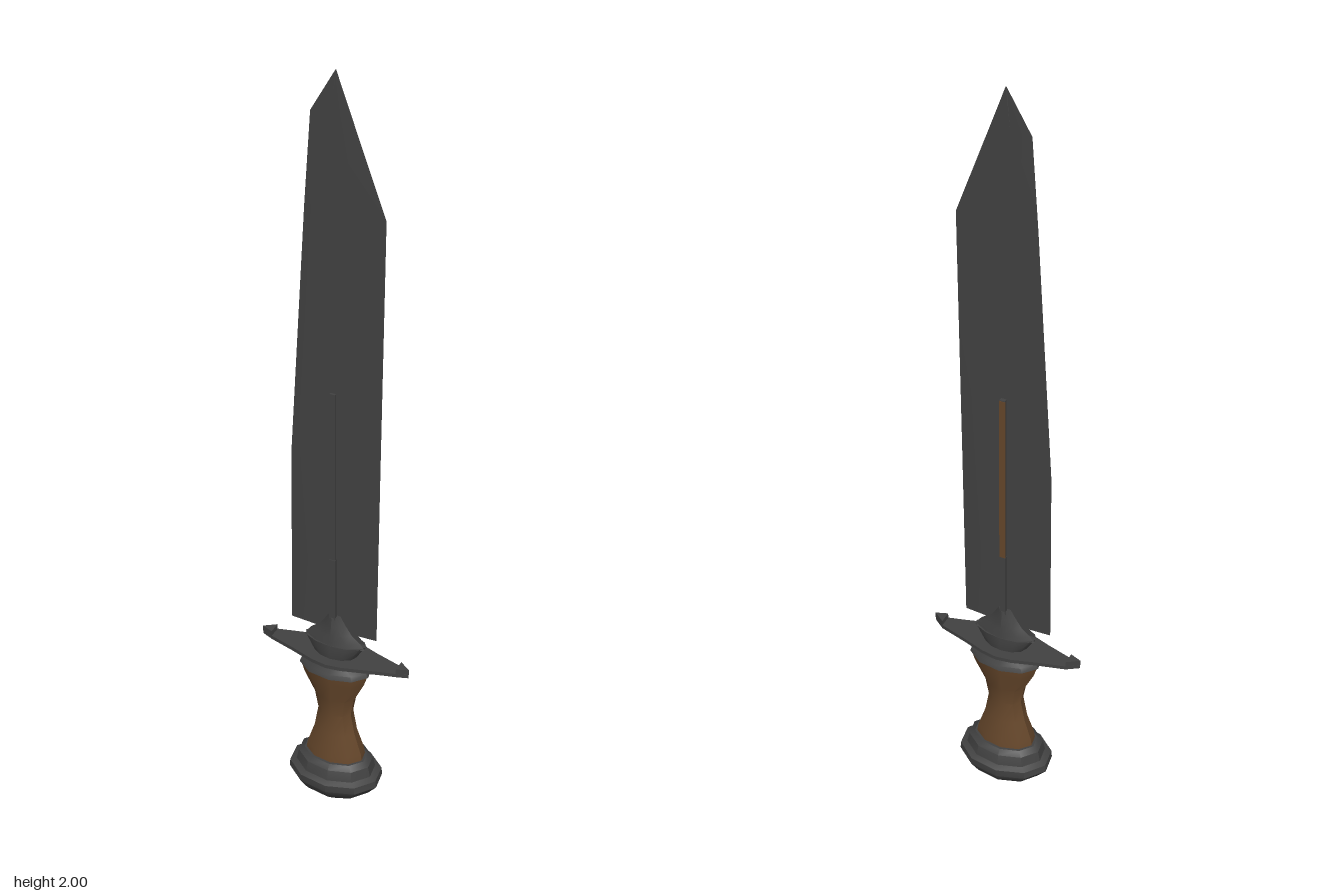
import * as THREE from 'three';
import { toCreasedNormals } from 'three/addons/utils/BufferGeometryUtils.js';

// Closed solid through rings of [x, y, z] points, counter-clockwise seen from below, listed bottom to top
function loft(rings, crease = 0.6) {
  const n = rings[0].length, pos = [], idx = [];
  rings.forEach(r => r.forEach(p => pos.push(...p)));
  for (let k = 0; k < rings.length - 1; k++) {
    for (let i = 0; i < n; i++) {
      const a = k * n + i, b = k * n + (i + 1) % n;
      idx.push(a, a + n, b, b, a + n, b + n);
    }
  }
  const last = (rings.length - 1) * n;
  for (let i = 1; i < n - 1; i++) {
    idx.push(0, i, i + 1);
    idx.push(last, last + i + 1, last + i);
  }
  const g = new THREE.BufferGeometry();
  g.setAttribute('position', new THREE.Float32BufferAttribute(pos, 3));
  g.setIndex(idx);
  return toCreasedNormals(g, crease);
}

// Elliptical ring; x = cos, z = sin
function oval(y, rx, rz, n = 10, turn = 0.2) {
  return Array.from({ length: n }, (_, i) => {
    const a = turn + i / n * Math.PI * 2;
    return [rx * Math.cos(a), y, rz * Math.sin(a)];
  });
}

export function createModel() {
  const steel = new THREE.MeshStandardMaterial({ color: 0x424242 });
  steel.name = 'dark steel';
  const leather = new THREE.MeshStandardMaterial({ color: 0x66472b });
  leather.name = 'brown leather';
  const group = new THREE.Group();
  const add = (name, geometry, material = steel) => {
    const mesh = new THREE.Mesh(geometry, material);
    mesh.name = name;
    group.add(mesh);
    return mesh;
  };
  const ovals = (rows, crease) => loft(rows.map(r => oval(...r)), crease);

  // Pommel with a small knob underneath
  add('pommel', ovals([
    [0.03, 0.03, 0.024], [0.042, 0.065, 0.05], [0.065, 0.1, 0.073], [0.095, 0.125, 0.09],
    [0.115, 0.123, 0.09], [0.122, 0.106, 0.076], [0.15, 0.1, 0.07], [0.162, 0.085, 0.058],
  ]));
  add('pommelKnob', ovals([
    [0, 0.006, 0.005], [0.018, 0.02, 0.016], [0.028, 0.036, 0.028], [0.036, 0.03, 0.024],
  ]));

  // Waisted grip
  add('grip', ovals([
    [0.155, 0.08, 0.052], [0.18, 0.077, 0.05], [0.24, 0.057, 0.037], [0.3, 0.046, 0.034],
    [0.35, 0.055, 0.039], [0.41, 0.084, 0.054], [0.44, 0.093, 0.058],
  ]), leather);
  add('gripCollar', ovals([
    [0.438, 0.096, 0.062], [0.45, 0.09, 0.058], [0.46, 0.075, 0.05], [0.474, 0.07, 0.046],
  ]));

  // Thin pointed crossguard
  const half = [[0.17, 0.016], [0.1, 0.035], [0.04, 0.054], [0, 0.06]];
  const outline = [[0.2, 0.006], ...half, ...half.slice(0, 3).reverse().map(([x, z]) => [-x, z]),
    [-0.2, 0.004], ...half.map(([x, z]) => [-x, -z]),
    ...half.slice(0, 3).reverse().map(([x, z]) => [x, -z])];
  add('crossguard', loft([0.471, 0.481].map(y => outline.map(([x, z]) => [x, y, z]))));

  // Raised crossguard tips
  for (const s of [1, -1]) {
    const ring = y => {
      const p = [[0.2, y, 0.005], [0.17, y, 0.016], [0.17, y, -0.016]];
      return s > 0 ? p : p.map(([x, , z]) => [-x, y, z]).reverse();
    };
    add(s > 0 ? 'leftGuardTip' : 'rightGuardTip', loft([ring(0.48), ring(0.495)]));
  }

  // Blade socket: a solid foot, then two prongs holding the blade
  add('socketFoot', ovals([
    [0.48, 0.056, 0.034, 12, 0], [0.5, 0.068, 0.036, 12, 0], [0.52, 0.082, 0.034, 12, 0],
  ]));
  const prongRows = [[0.515, 0.082, 0.034], [0.53, 0.07, 0.032], [0.55, 0.046, 0.03],
    [0.575, 0.029, 0.027], [0.598, 0.016, 0.024]];
  const prong = loft(prongRows.map(([y, w, d]) =>
    [[w, y, 0.007], [w * 0.55, y, 0.007 + (d - 0.007) * 0.7], [0, y, d],
      [-w * 0.55, y, 0.007 + (d - 0.007) * 0.7], [-w, y, 0.007]]));
  add('frontProng', prong);
  add('backProng', prong).rotation.y = Math.PI;

  // Blade: lens sections with sharp edges and a clipped, pointed end
  const bladeRows = [[0.55, -0.12, 0.11, 0.007], [1.03, -0.116, 0.114, 0.006],
    [1.68, -0.076, 0.12, 0.004], [1.9, -0.06, 0.038, 0.003], [2, -0.001, 0.001, 0.001]];
  add('blade', loft(bladeRows.map(([y, l, r, t]) => {
    const m = (l + r) / 2;
    return [[r, y, 0], [m, y, t], [l, y, 0], [m, y, -t]];
  })));

  // Narrow spines running up both faces of the blade
  const bar = (name, w, y0, y1, z, d, material) =>
    add(name, new THREE.BoxGeometry(w, y1 - y0, d).translate(0, (y0 + y1) / 2, z), material);
  for (const [side, s] of [['front', 1], ['back', -1]]) {
    bar(side + 'SpineBase', 0.016, 0.58, 0.77, s * 0.016, 0.01, steel);
    bar(side + 'Spine', 0.014, 0.77, 1.23, s * 0.016, s > 0 ? 0.006 : 0.009, steel);
  }
  bar('backSpineInlay', 0.015, 0.77, 1.228, -0.0205, 0.002, leather);

  return group;
}
